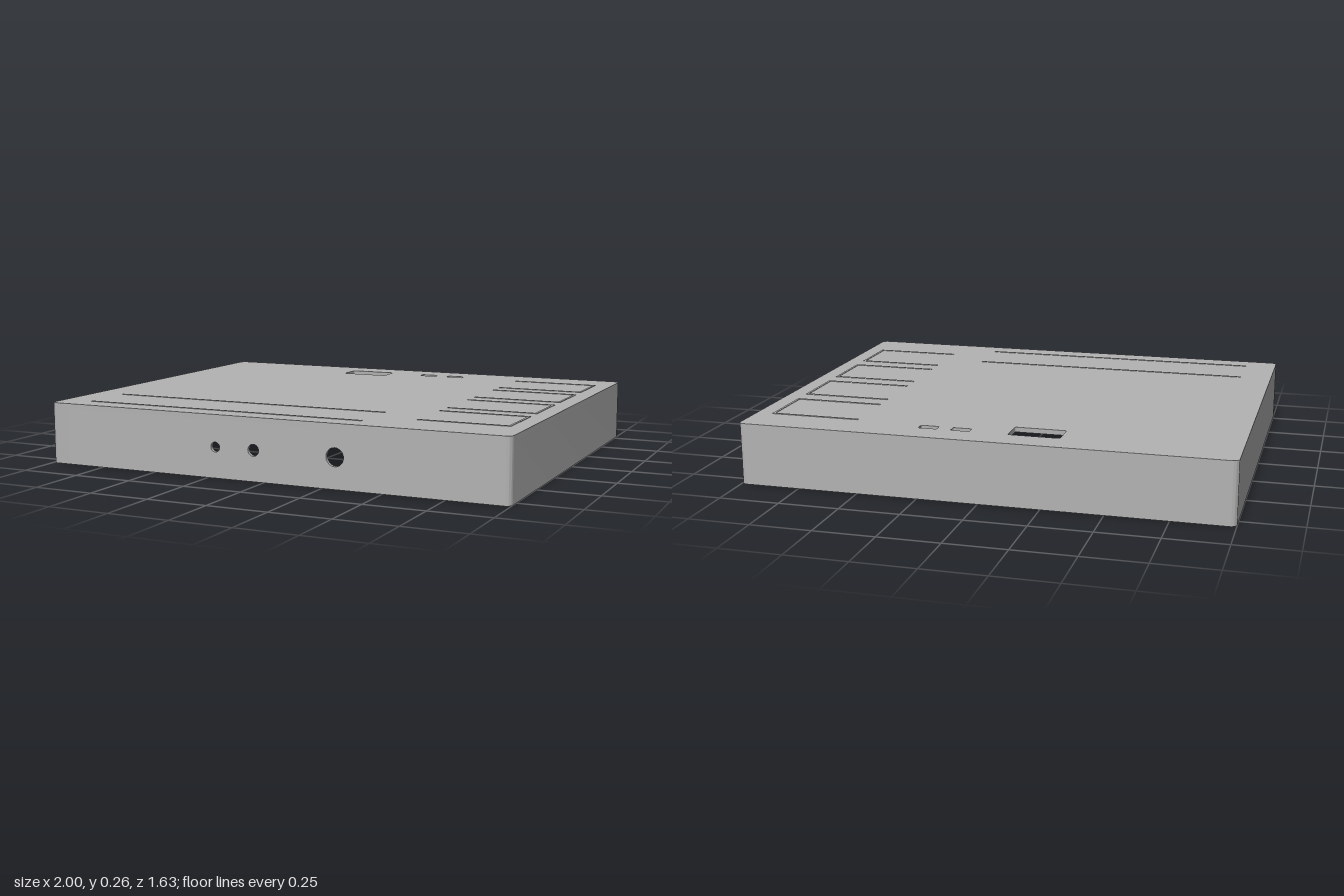
import * as THREE from 'three';
import { toCreasedNormals } from 'three/addons/utils/BufferGeometryUtils.js';

const W = 1, D = 0.815, H = 0.255;      // half width, half depth, height
const WALL = 0.015, ROOF = 0.02, R = 0.025;
const CEIL = H - ROOF;

export function createModel() {
  const model = new THREE.Group();
  const grey = new THREE.MeshStandardMaterial({ color: 0xb3b3b3 });
  grey.name = 'case grey';

  const add = (name, geometry, x = 0, y = 0, z = 0, parent = model) => {
    const mesh = new THREE.Mesh(geometry, grey);
    mesh.name = name;
    mesh.position.set(x, y, z);
    parent.add(mesh);
    return mesh;
  };
  const box = (name, x0, x1, y0, y1, z0, z1, parent) =>
    add(name, new THREE.BoxGeometry(x1 - x0, y1 - y0, z1 - z0),
      (x0 + x1) / 2, (y0 + y1) / 2, (z0 + z1) / 2, parent);
  const extrude = (shape, depth) => toCreasedNormals(
    new THREE.ExtrudeGeometry(shape, { depth, bevelEnabled: false, curveSegments: 10 }), 0.6);
  // plan outline (x, -z) raised upward
  const raise = (shape, height) => extrude(shape, height).rotateX(-Math.PI / 2);

  const roundedRect = (path, x0, x1, y0, y1, r) => {
    path.moveTo(x0 + r, y0);
    path.lineTo(x1 - r, y0).absarc(x1 - r, y0 + r, r, -Math.PI / 2, 0);
    path.lineTo(x1, y1 - r).absarc(x1 - r, y1 - r, r, 0, Math.PI / 2);
    path.lineTo(x0 + r, y1).absarc(x0 + r, y1 - r, r, Math.PI / 2, Math.PI);
    path.lineTo(x0, y0 + r).absarc(x0 + r, y0 + r, r, Math.PI, Math.PI * 1.5);
    return path;
  };

  // roof plate with one window and two small openings
  const roof = roundedRect(new THREE.Shape(), -W, W, -D, D, R);
  roof.holes.push(roundedRect(new THREE.Path(), -0.3, -0.09, 0.585, 0.695, 0.008));
  const pockets = [[0.068, 0.145], [0.203, 0.28]];
  for (const [x0, x1] of pockets) {
    roof.holes.push(roundedRect(new THREE.Path(), x0, x1, 0.655, 0.692, 0.003));
    box('pocketFloor', x0 - 0.01, x1 + 0.01, CEIL - 0.012, CEIL, -0.702, -0.645);
  }
  add('roof', raise(roof, ROOF), 0, CEIL, 0);

  // side and back walls, with rounded corners, open at the front
  const gap = 0.9, r = R - WALL, iw = W - WALL, id = D - WALL;
  const ring = new THREE.Shape();
  ring.moveTo(gap, -D);
  ring.lineTo(W - R, -D).absarc(W - R, -D + R, R, -Math.PI / 2, 0);
  ring.lineTo(W, D - R).absarc(W - R, D - R, R, 0, Math.PI / 2);
  ring.lineTo(-W + R, D).absarc(-W + R, D - R, R, Math.PI / 2, Math.PI);
  ring.lineTo(-W, -D + R).absarc(-W + R, -D + R, R, Math.PI, Math.PI * 1.5);
  ring.lineTo(-gap, -D).lineTo(-gap, -id);
  ring.lineTo(-iw + r, -id).absarc(-iw + r, -id + r, r, Math.PI * 1.5, Math.PI, true);
  ring.lineTo(-iw, id - r).absarc(-iw + r, id - r, r, Math.PI, Math.PI / 2, true);
  ring.lineTo(iw - r, id).absarc(iw - r, id - r, r, Math.PI / 2, 0, true);
  ring.lineTo(iw, -id + r).absarc(iw - r, -id + r, r, 0, -Math.PI / 2, true);
  ring.lineTo(gap, -id);
  ring.closePath();
  add('sideAndBackWalls', raise(ring, CEIL));

  // front wall with three round openings
  const front = new THREE.Shape();
  front.moveTo(-gap, 0).lineTo(gap, 0).lineTo(gap, CEIL).lineTo(-gap, CEIL).closePath();
  for (const [x, radius] of [[-0.215, 0.02], [-0.045, 0.024], [0.305, 0.037]]) {
    front.holes.push(new THREE.Path().absarc(x, 0.125, radius, 0, Math.PI * 2, true));
  }
  add('frontWall', extrude(front, WALL), 0, 0, id);

  // hollow screw posts in the four corners
  const post = new THREE.Shape().absarc(0, 0, 0.027, 0, Math.PI * 2);
  post.holes.push(new THREE.Path().absarc(0, 0, 0.014, 0, Math.PI * 2, true));
  const postGeometry = raise(post, CEIL - 0.012);
  for (const sx of [-1, 1]) for (const sz of [-1, 1]) {
    add('screwPost', postGeometry, sx * 0.94, 0.012, sz * 0.755);
  }

  // U-shaped bracket, open toward -x
  const bracket = (name, x0, x1, z0, z1, y0, y1, t) => {
    const group = new THREE.Group();
    group.name = name;
    box('rail', x0, x1, y0, y1, z0, z0 + t, group);
    box('rail', x0, x1, y0, y1, z1 - t, z1, group);
    box('endStop', x1 - t, x1, y0, y1, z0 + t, z1 - t, group);
    model.add(group);
  };

  // four bays along the left side: ribs below, fine raised lines above
  for (let i = 0; i < 4; i++) {
    const z0 = -0.645 + i * 0.333, z1 = z0 + 0.255;
    bracket('bayRibs', 0.555, 0.93, z0, z1, CEIL - 0.045, CEIL, 0.022);
    bracket('bayOutline', 0.555, 0.93, z0, z1, H, H + 0.002, 0.01);
  }

  // two holders under the roof
  for (const [x, z] of [[-0.3, 0.48], [-0.16, -0.24]]) {
    bracket('innerHolder', x - 0.42, x, z, z + 0.245, CEIL - 0.045, CEIL, 0.025);
  }

  // two long fine lines on the roof
  for (const z of [0.49, 0.717]) {
    box('roofLine', -0.865, 0.373, H, H + 0.002, z - 0.005, z + 0.005);
  }
  return model;
}
